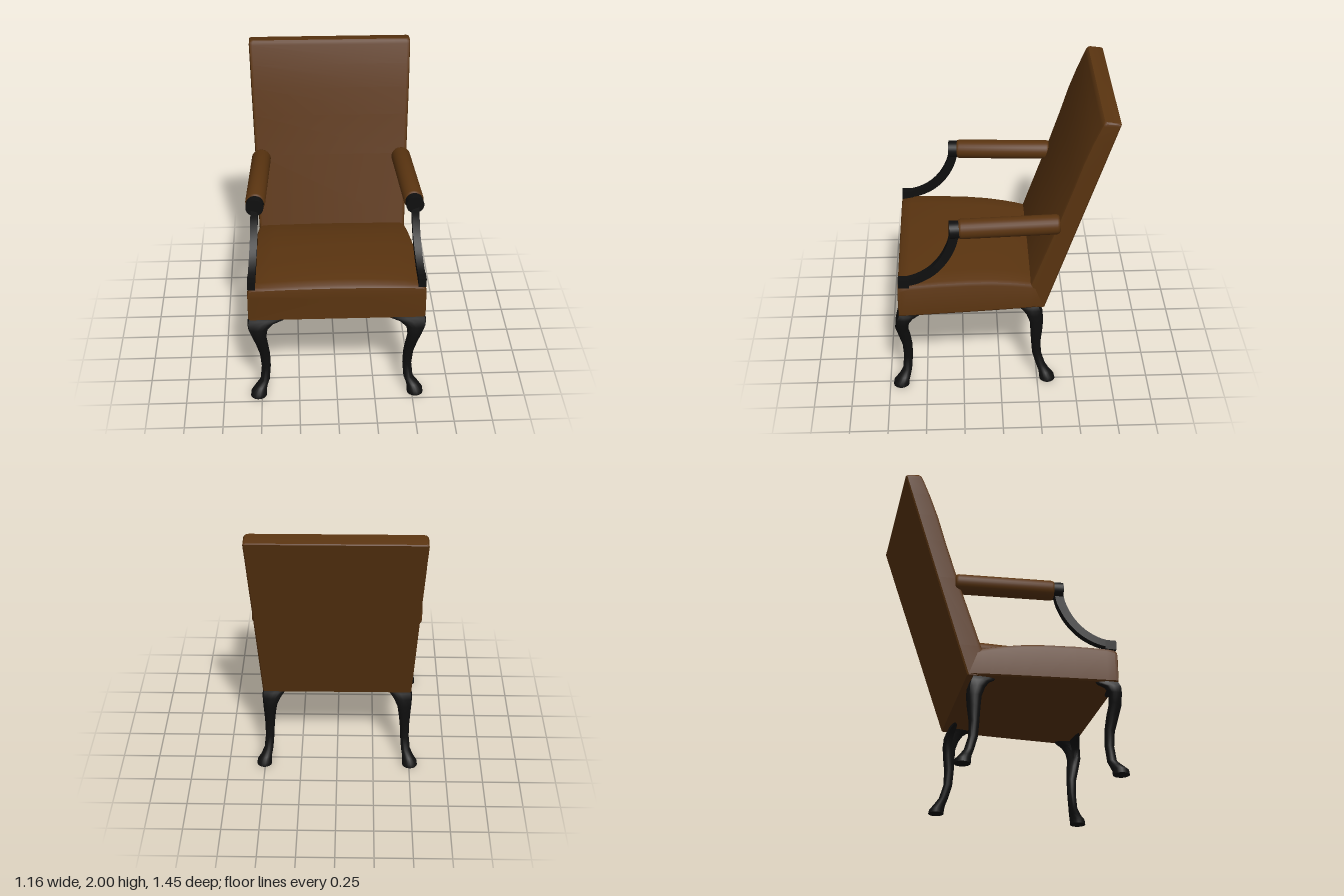
import * as THREE from 'three';
import { toCreasedNormals } from 'three/addons/utils/BufferGeometryUtils.js';

// Skin a closed solid over a list of equal-length rings of [x, y, z] points.
function loft(rings, crease = 0.6) {
  const n = rings[0].length, pos = rings.flat(2), idx = [];
  for (let r = 0; r < rings.length - 1; r++) {
    for (let i = 0; i < n; i++) {
      const a = r * n + i, b = r * n + (i + 1) % n;
      idx.push(a, b, a + n, b, b + n, a + n);
    }
  }
  // end caps fan out from the middle of the first and last ring
  [0, rings.length - 1].forEach((r) => {
    const c = pos.length / 3;
    for (let k = 0; k < 3; k++) pos.push(rings[r].reduce((s, p) => s + p[k], 0) / n);
    for (let i = 0; i < n; i++) {
      const a = r * n + i, b = r * n + (i + 1) % n;
      if (r === 0) idx.push(c, b, a); else idx.push(c, a, b);
    }
  });
  // turn faces outward if the solid came out inverted
  const v = (i) => new THREE.Vector3().fromArray(pos, i * 3);
  let volume = 0;
  for (let i = 0; i < idx.length; i += 3) volume += v(idx[i]).dot(v(idx[i + 1]).cross(v(idx[i + 2])));
  if (volume < 0) idx.reverse();
  const g = new THREE.BufferGeometry();
  g.setAttribute('position', new THREE.Float32BufferAttribute(pos, 3));
  g.setIndex(idx);
  return toCreasedNormals(g, crease);
}

// Seat cushion section at depth z: flat bottom, rounded shoulders, crowned top
function seatRing([z, w, edge, crown]) {
  const ring = [[w - 0.008, 0.602, z], [-w + 0.008, 0.602, z], [-w, 0.612, z],
    [-w, edge - 0.03, z], [-w + 0.01, edge - 0.01, z]];
  for (let i = 0; i <= 10; i++) {
    const t = i / 5 - 1;
    ring.push([t * (w - 0.03), edge + crown * (1 - t * t), z]);
  }
  ring.push([w - 0.01, edge - 0.01, z], [w, edge - 0.03, z], [w, 0.612, z]);
  return ring;
}

// Backrest section between a front and a rear edge
function backRing([zf, yf, zb, yb, w]) {
  const at = (x, s) => [x, yf + (yb - yf) * s, zf + (zb - zf) * s];
  const half = [[w - 0.022, 0], [w - 0.006, 0.06], [w, 0.18], [w, 0.94], [w - 0.008, 1]];
  return [...half.map(([x, s]) => at(x, s)), ...half.reverse().map(([x, s]) => at(-x, s))];
}

// Cabriole leg section; wings bend back along both rails near the top
function legRing([y, x, z, depth, wing, bend], zScale, sx, sz) {
  const ring = [];
  for (let i = 0; i < 20; i++) {
    const a = i / 20 * Math.PI * 2;
    const v = Math.sin(a) * wing, u = Math.cos(a) * depth - bend * Math.abs(v);
    ring.push([sx * (x + (u + v) * Math.SQRT1_2), y, sz * (z + (u - v) * Math.SQRT1_2 * zScale(y))]);
  }
  return ring;
}

// Square-section curved post under the arm
function supportGeometry(s) {
  const curve = new THREE.CatmullRomCurve3([
    [0.522, 1.22, 0.296], [0.525, 1.14, 0.312], [0.53, 1.03, 0.365],
    [0.537, 0.94, 0.445], [0.543, 0.885, 0.54], [0.547, 0.862, 0.63],
  ].map((p) => new THREE.Vector3(...p)));
  const rings = [];
  for (let i = 0; i <= 20; i++) {
    const p = curve.getPoint(i / 20), t = curve.getTangent(i / 20);
    const h = 0.03 - 0.007 * i / 20, w = 0.024;
    const l = Math.hypot(t.y, t.z), ny = t.z / l * h, nz = -t.y / l * h;
    rings.push([[1, 1], [-1, 1], [-1, -1], [1, -1]].map(([a, b]) => [s * (p.x + a * w), p.y + b * ny, p.z + b * nz]));
  }
  return loft(rings);
}

export function createModel() {
  const leather = new THREE.MeshStandardMaterial({ color: 0x5a3410 });
  leather.name = 'brown leather';
  const wood = new THREE.MeshStandardMaterial({ color: 0x0f0f0f });
  wood.name = 'black wood';
  const group = new THREE.Group();
  group.name = 'armchair';
  const add = (name, geometry, material) => {
    const m = new THREE.Mesh(geometry, material);
    m.name = name;
    group.add(m);
    return m;
  };

  add('seat', loft([
    [0.67, 0.568, 0.80, 0.01], [0.666, 0.574, 0.82, 0.012], [0.65, 0.575, 0.832, 0.016],
    [0.6, 0.571, 0.84, 0.02], [0.4, 0.557, 0.845, 0.022], [0.2, 0.543, 0.843, 0.022],
    [0.06, 0.532, 0.835, 0.02], [-0.06, 0.522, 0.82, 0.016], [-0.14, 0.515, 0.806, 0.01],
    [-0.2, 0.508, 0.793, 0.006], [-0.284, 0.5, 0.77, 0],
  ].map(seatRing)), leather);

  add('backrest', loft([
    [-0.13, 0.602, -0.29, 0.602, 0.5], [-0.2, 0.8, -0.353, 0.8, 0.507],
    [-0.36, 1.26, -0.498, 1.26, 0.523], [-0.445, 1.52, -0.58, 1.52, 0.533],
    [-0.5, 1.7, -0.637, 1.7, 0.54], [-0.555, 1.85, -0.684, 1.85, 0.545],
    [-0.606, 1.97, -0.721, 1.968, 0.55], [-0.614, 1.988, -0.725, 1.98, 0.549],
    [-0.625, 2.0, -0.72, 1.987, 0.54],
  ].map(backRing)), leather);

  // leg sections: y, x, z, depth, wing, bend
  const frontLeg = [
    [0, 0.522, 0.675, 0.053, 0.053, 0], [0.03, 0.52, 0.672, 0.052, 0.052, 0],
    [0.06, 0.505, 0.652, 0.042, 0.04, 0], [0.1, 0.478, 0.632, 0.031, 0.031, 0],
    [0.2, 0.468, 0.622, 0.03, 0.03, 0], [0.3, 0.474, 0.625, 0.033, 0.034, 0],
    [0.4, 0.495, 0.645, 0.038, 0.044, 0.1], [0.47, 0.515, 0.662, 0.042, 0.055, 0.2],
    [0.53, 0.535, 0.665, 0.046, 0.075, 0.45], [0.57, 0.54, 0.66, 0.05, 0.105, 0.7],
    [0.59, 0.537, 0.652, 0.05, 0.14, 0.9], [0.606, 0.53, 0.645, 0.05, 0.148, 0.9],
  ];
  const backLeg = [
    [0.008, 0.505, 0.318, 0.052, 0.052, 0], [0.035, 0.503, 0.314, 0.05, 0.05, 0],
    [0.065, 0.492, 0.298, 0.04, 0.038, 0], [0.11, 0.475, 0.273, 0.031, 0.031, 0],
    [0.2, 0.466, 0.246, 0.03, 0.03, 0], [0.3, 0.464, 0.24, 0.032, 0.034, 0],
    [0.4, 0.464, 0.245, 0.036, 0.046, 0.1], [0.47, 0.465, 0.248, 0.04, 0.056, 0.2],
    [0.53, 0.468, 0.246, 0.044, 0.075, 0.45], [0.57, 0.468, 0.238, 0.045, 0.09, 0.7],
    [0.59, 0.463, 0.23, 0.045, 0.105, 0.9], [0.606, 0.455, 0.225, 0.045, 0.11, 0.9],
  ];
  const frontScale = (y) => 1 - 0.4 * THREE.MathUtils.smoothstep(y, 0.4, 0.6);
  const backScale = (y) => 1 - 0.2 * THREE.MathUtils.smoothstep(y, 0.4, 0.6);

  // padded arm outline, rounded at both ends
  const pad = [[0, -0.325], [0.05, -0.325], [0.06, -0.318], [0.065, -0.305],
    [0.065, 0.305], [0.06, 0.318], [0.05, 0.325], [0, 0.325]];

  for (const [side, s] of [['left', 1], ['right', -1]]) {
    add(side + 'FrontLeg', loft(frontLeg.map((r) => legRing(r, frontScale, s, 1)), 0.8), wood);
    add(side + 'BackLeg', loft(backLeg.map((r) => legRing(r, backScale, s, -1)), 0.8), wood);

    const padGeo = toCreasedNormals(new THREE.LatheGeometry(pad.map((p) => new THREE.Vector2(...p)), 28), 0.7);
    const arm = add(side + 'ArmPad', padGeo.rotateX(Math.PI / 2), leather);
    arm.position.set(s * 0.4985, 1.24, -0.052);
    arm.rotation.y = s * 0.055;

    const knob = add(side + 'ArmKnob', new THREE.CylinderGeometry(0.058, 0.058, 0.075, 28).rotateX(Math.PI / 2), wood);
    knob.position.set(s * 0.518, 1.238, 0.29);
    knob.rotation.y = s * 0.055;

    add(side + 'ArmSupport', supportGeometry(s), wood);
    const block = add(side + 'ArmSupportFoot', new THREE.BoxGeometry(0.05, 0.062, 0.072), wood);
    block.position.set(s * 0.547, 0.86, 0.628);
  }
  return group;
}
